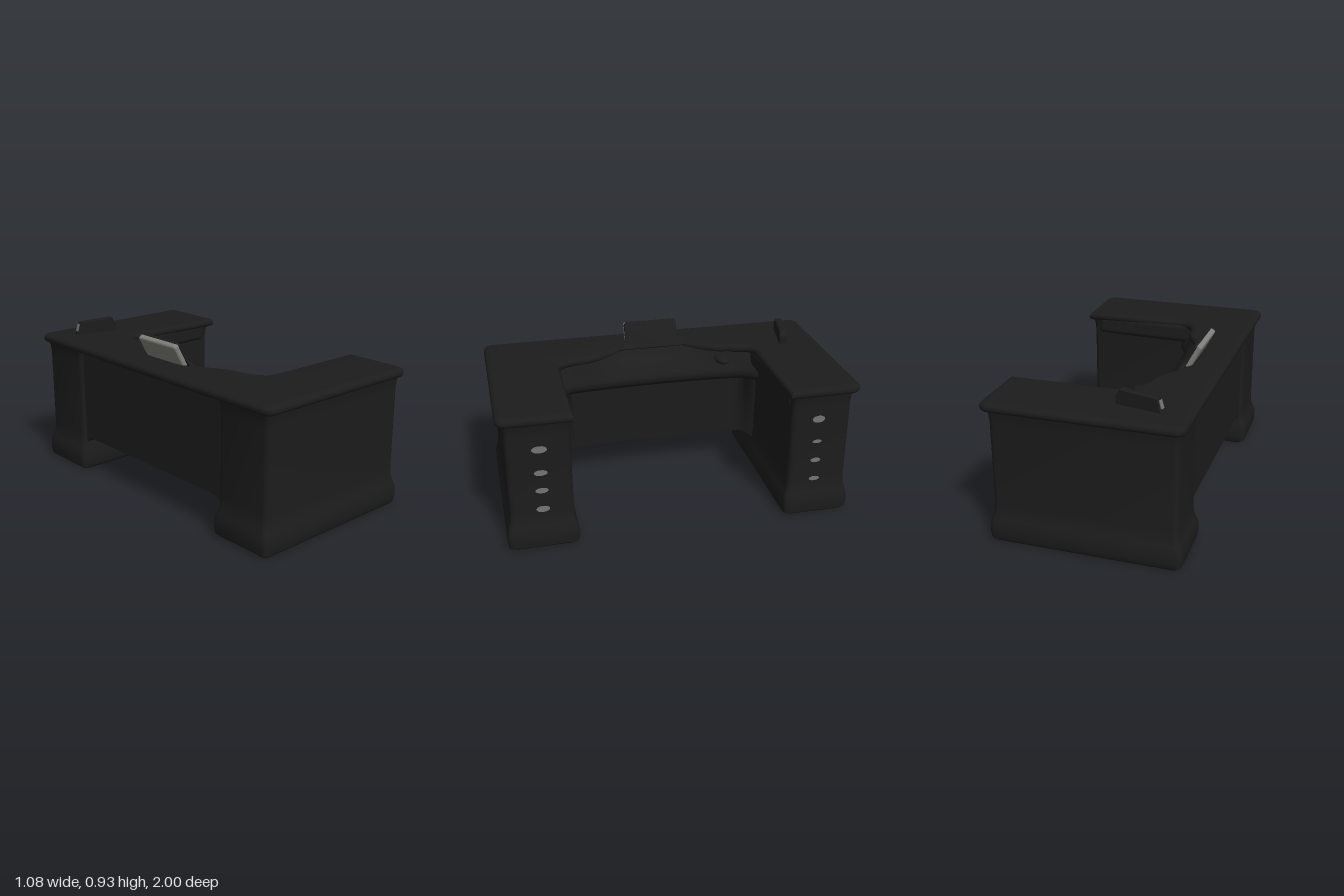
import * as THREE from 'three';
import { toCreasedNormals } from 'three/addons/utils/BufferGeometryUtils.js';
import { RoundedBoxGeometry } from 'three/addons/geometries/RoundedBoxGeometry.js';

const smooth = (t) => THREE.MathUtils.smoothstep(t, 0, 1);

// Skin closed rings of points, with capped ends
function loft(rings, crease = 0.7) {
  const n = rings[0].length;
  const pos = rings.flat().flatMap((p) => p.toArray());
  const index = [];
  for (let r = 0; r < rings.length - 1; r++) {
    for (let i = 0; i < n; i++) {
      const a = r * n + i, b = r * n + ((i + 1) % n);
      index.push(a, a + n, b, b, a + n, b + n);
    }
  }
  const last = (rings.length - 1) * n;
  for (let i = 1; i < n - 1; i++) {
    index.push(0, i, i + 1, last, last + i + 1, last + i);
  }
  const geo = new THREE.BufferGeometry();
  geo.setAttribute('position', new THREE.Float32BufferAttribute(pos, 3));
  geo.setIndex(index);
  return toCreasedNormals(geo, crease);
}

// Horizontal rounded rectangle between two corners
function roundedRing(y, x0, x1, z0, z1, r) {
  const ring = [];
  const corners = [[x1 - r, z1 - r], [x0 + r, z1 - r], [x0 + r, z0 + r], [x1 - r, z0 + r]];
  corners.forEach(([cx, cz], k) => {
    for (let i = 0; i <= 4; i++) {
      const a = (k + i / 4) * Math.PI / 2;
      ring.push(new THREE.Vector3(cx + r * Math.cos(a), y, cz + r * Math.sin(a)));
    }
  });
  return ring;
}

// Inner edge of the connecting strip, hollowed out in front of the screen
const innerEdge = (z) => -0.19 - 0.15 * smooth(1 - (Math.abs(z) - 0.1) / 0.35);

export function createModel() {
  const group = new THREE.Group();
  const black = new THREE.MeshStandardMaterial({ name: 'black', color: 0x1c1c1c });
  const grey = new THREE.MeshStandardMaterial({ name: 'grey', color: 0x747474 });
  const paleGrey = new THREE.MeshStandardMaterial({ name: 'paleGrey', color: 0x80807a });

  const add = (name, geo, mat, parent = group) => {
    const mesh = new THREE.Mesh(geo, mat);
    mesh.name = name;
    parent.add(mesh);
    return mesh;
  };

  // Pedestals with a flared plinth, a rail under the worktop and drawer pulls on the +x end
  const flare = [[0, 0.006], [0.014, 0.022], [0.05, 0.027], [0.1, 0.025], [0.135, 0.014],
    [0.165, 0.004], [0.22, 0], [0.68, 0], [0.73, 0.004], [0.765, 0.014]];
  // Pull height, half height and half width
  const pulls = {
    front: [[0.6, 0.021, 0.042], [0.46, 0.017, 0.037], [0.352, 0.016, 0.036], [0.237, 0.019, 0.037]],
    back: [[0.6, 0.021, 0.037], [0.46, 0.011, 0.027], [0.34, 0.014, 0.03], [0.22, 0.014, 0.031]],
  };
  for (const [side, s] of [['front', 1], ['back', -1]]) {
    const pedestal = new THREE.Group();
    pedestal.name = side + 'Pedestal';
    group.add(pedestal);
    const z0 = s > 0 ? 0.613 : -0.958, z1 = s > 0 ? 0.963 : -0.613;
    add('pedestalBody', loft(flare.map(([y, f]) =>
      roundedRing(y, -0.505 - f, 0.497 + f, z0 - f * 0.8, z1 + f * 0.8, 0.03))), black, pedestal);
    const rail = add('innerRail', new RoundedBoxGeometry(0.66, 0.12, 0.07, 4, 0.034), black, pedestal);
    rail.position.set(0.14, 0.72, s * 0.626);
    rail.rotation.y = -s * 0.04;
    for (const [y, h, w] of pulls[side]) {
      const pull = add('drawerPull', new THREE.CylinderGeometry(1, 1, 0.006, 16), grey, pedestal);
      pull.rotation.z = Math.PI / 2;
      pull.scale.set(h, 1, w);
      pull.position.set(0.4955, y, s > 0 ? 0.782 : -0.77);
    }
  }

  // Connecting panel with a sloping apron, filleted into the pedestals
  const sections = [];
  for (let i = 0; i <= 48; i++) {
    const z = -0.64 + 1.28 * i / 48;
    const f = smooth((Math.abs(z) - 0.5) / 0.13);
    const bow = 0.03 * (z / 0.6) ** 2 + 0.05 * f;
    const low = 0.207 - 0.035 * smooth((Math.abs(z) - 0.56) / 0.06), e = innerEdge(z);
    sections.push([
      [-0.485, low], [-0.485, 0.77], [e - 0.02, 0.789],
      [e * 0.5 - 0.1 + bow / 2, 0.73 + 0.02 * f], [-0.19 + bow, 0.67], [-0.172 + bow, 0.645],
      [-0.17 + bow, 0.615], [-0.185 + bow, 0.595], [-0.215 + bow, 0.575], [-0.225 + bow, low],
    ].map(([x, y]) => new THREE.Vector3(x, y, z)));
  }
  add('backPanel', loft(sections, 0.9), black);

  // Worktop: C-shaped slab with rounded corners and a moulded edge
  const b = 0.035, r = 0.025;
  const x0 = -0.54 + b, x1 = 0.537 - b, za = -1 + b, zb = 1 - b;
  const wingBack = -0.585 - b, wingFront = 0.595 + b;
  const outline = new THREE.Shape();
  outline.moveTo(x0 + r, za);
  outline.lineTo(x1 - r, za);
  outline.quadraticCurveTo(x1, za, x1, za + r);
  outline.lineTo(x1, wingBack);
  outline.lineTo(-0.08, wingBack);
  outline.quadraticCurveTo(-0.165 - b, wingBack, -0.17 - b, -0.5);
  for (let i = 0; i <= 24; i++) {
    const z = -0.46 + 0.92 * i / 24;
    outline.lineTo(innerEdge(z) - b, z);
  }
  outline.quadraticCurveTo(-0.165 - b, wingFront, -0.08, wingFront);
  outline.lineTo(x1 - 0.01, wingFront);
  outline.lineTo(x1 - 0.01, zb - r);
  outline.quadraticCurveTo(x1 - 0.01, zb, x1 - 0.01 - r, zb);
  outline.lineTo(x0 + r, zb);
  outline.quadraticCurveTo(x0, zb, x0, zb - r);
  outline.lineTo(x0, za + r);
  outline.quadraticCurveTo(x0, za, x0 + r, za);
  const slab = new THREE.ExtrudeGeometry(outline, {
    depth: 0.004, bevelEnabled: true, bevelThickness: 0.025, bevelSize: b, bevelSegments: 4, curveSegments: 8,
  });
  slab.rotateX(Math.PI / 2).translate(0, 0.775, 0);
  add('worktop', toCreasedNormals(slab, 0.7), black);

  // Leaning screen: dark front flaring into the worktop, pale back shell
  const screen = new THREE.Group();
  screen.name = 'screen';
  screen.position.set(-0.36, 0.853, 0);
  screen.rotation.z = 0.5;
  group.add(screen);
  const front = new THREE.Shape();
  front.moveTo(-0.21, -0.09);
  front.quadraticCurveTo(-0.16, -0.065, -0.155, -0.02);
  front.lineTo(-0.155, 0.05);
  front.quadraticCurveTo(-0.155, 0.07, -0.135, 0.07);
  front.lineTo(0.135, 0.07);
  front.quadraticCurveTo(0.155, 0.07, 0.155, 0.05);
  front.lineTo(0.155, -0.02);
  front.quadraticCurveTo(0.16, -0.065, 0.21, -0.09);
  const frontGeo = new THREE.ExtrudeGeometry(front, {
    depth: 0.004, bevelEnabled: true, bevelThickness: 0.008, bevelSize: 0.006, bevelSegments: 3, curveSegments: 6,
  });
  frontGeo.rotateY(Math.PI / 2).translate(0.012, 0, 0);
  add('screenFront', toCreasedNormals(frontGeo, 0.7), black, screen);
  add('screenBack', new RoundedBoxGeometry(0.036, 0.154, 0.322, 3, 0.014), paleGrey, screen).position.x = -0.007;

  // Upright tray standing on the side wing
  const tray = new THREE.Group();
  tray.name = 'tray';
  tray.position.set(-0.26, 0.79, -0.8);
  tray.rotation.y = -0.2;
  group.add(tray);
  const face = new THREE.Shape([[-0.13, 0], [-0.105, 0.08], [0.1, 0.088], [0.125, 0.055], [0.125, 0]]
    .map(([x, y]) => new THREE.Vector2(x, y)));
  add('trayBody', new THREE.ExtrudeGeometry(face, {
    depth: 0.02, bevelEnabled: true, bevelThickness: 0.012, bevelSize: 0.004, bevelSegments: 2,
  }).translate(0, 0, -0.01), black, tray);
  const tip = add('trayTip', new THREE.BoxGeometry(0.008, 0.045, 0.024), grey, tray);
  tip.position.set(-0.12, 0.05, 0);
  tip.rotation.z = -0.3;

  // Small handset resting on the apron
  const handset = add('handset', new THREE.SphereGeometry(1, 20, 12), black);
  handset.scale.set(0.07, 0.024, 0.042);
  handset.position.set(-0.165, 0.725, -0.4);

  return group;
}
